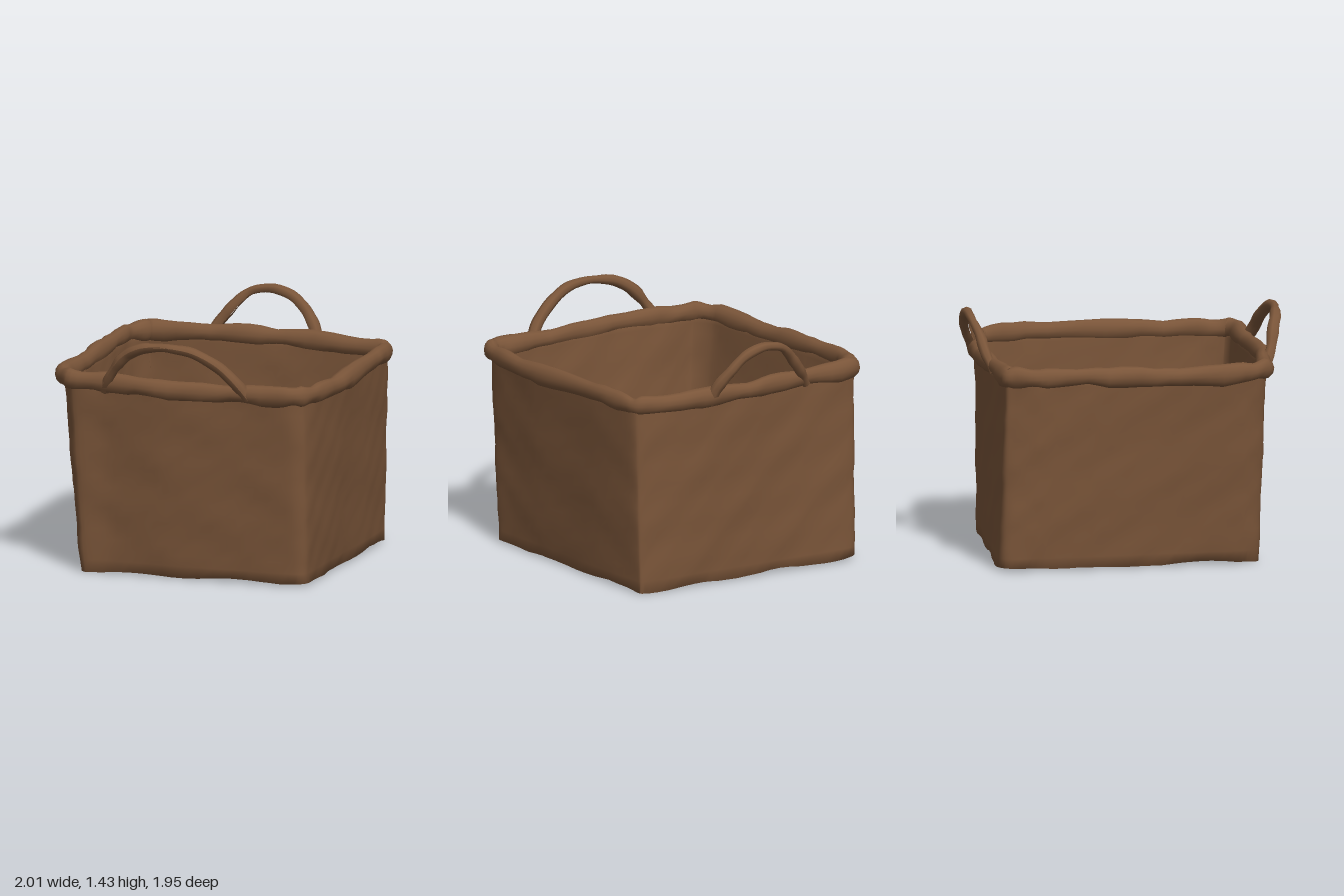
import * as THREE from 'three';

const N = 112; // samples around the basket

// Outlines (x, z) in matching order: back left, back right, front right, front left
const rimOutline = [
  [-0.97, -0.51], [-0.64, -0.66], [-0.29, -0.82], [0.03, -0.91], [0.42, -0.975], [0.53, -0.92],
  [0.67, -0.61], [0.89, -0.06], [0.99, 0.29], [1.0, 0.46], [0.91, 0.55],
  [0.62, 0.66], [0.17, 0.85], [-0.18, 0.92], [-0.39, 0.97], [-0.56, 0.85],
  [-0.72, 0.46], [-0.89, 0.03], [-1.0, -0.26], [-0.995, -0.42],
];
const baseOutline = [
  [-0.92, -0.54], [-0.61, -0.64], [-0.28, -0.74], [0.03, -0.83], [0.40, -0.935], [0.46, -0.90],
  [0.59, -0.56], [0.77, -0.06], [0.88, 0.22], [0.935, 0.36], [0.89, 0.43],
  [0.60, 0.54], [0.17, 0.69], [-0.15, 0.80], [-0.32, 0.875], [-0.40, 0.80],
  [-0.56, 0.45], [-0.76, 0.03], [-0.90, -0.30], [-0.965, -0.47],
];

const loopCurve = (pts) => new THREE.CatmullRomCurve3(
  pts.map(([x, z]) => new THREE.Vector3(x, 0, z)), true, 'catmullrom', 0.35);
const rimCurve = loopCurve(rimOutline);
const baseCurve = loopCurve(baseOutline);

// Blend of base (t = 0) and rim (t = 1), moved inwards by inset
function loopAt(t, inset) {
  const pts = [];
  for (let j = 0; j < N; j++) {
    pts.push(baseCurve.getPoint(j / N).lerp(rimCurve.getPoint(j / N), t));
  }
  return pts.map((p, j) => {
    const d = pts[(j + 1) % N].clone().sub(pts[(j + N - 1) % N]).normalize();
    return new THREE.Vector3(p.x - d.z * inset, 0, p.z + d.x * inset);
  });
}

// Soft lumps for the hand-made surface
const lump = (x, y, z) =>
  (Math.sin(9 * x + 7 * y + 2) * Math.sin(8 * z - 6 * y) +
   0.7 * Math.sin(23 * y + 13 * x) * Math.sin(19 * z + 17 * x + 1) +
   0.4 * Math.sin(41 * y - 31 * z) * Math.sin(37 * x + 5)) / 2;

function roughen(geo, amount) {
  geo.computeVertexNormals();
  const p = geo.attributes.position, n = geo.attributes.normal;
  for (let i = 0; i < p.count; i++) {
    const k = amount * lump(p.getX(i), p.getY(i), p.getZ(i));
    p.setXYZ(i, p.getX(i) + n.getX(i) * k, p.getY(i) + n.getY(i) * k, p.getZ(i) + n.getZ(i) * k);
  }
  geo.computeVertexNormals();
  return geo;
}

// Skin over closed rings of N points, the last ring joined to the first
function skin(rings) {
  const pos = [], index = [];
  rings.forEach((ring) => ring.forEach((p) => pos.push(p.x, p.y, p.z)));
  for (let i = 0; i < rings.length; i++) {
    const k = (i + 1) % rings.length;
    for (let j = 0; j < N; j++) {
      const m = (j + 1) % N;
      const a = i * N + j, b = i * N + m, c = k * N + j, d = k * N + m;
      index.push(a, c, b, b, c, d);
    }
  }
  const geo = new THREE.BufferGeometry();
  geo.setAttribute('position', new THREE.Float32BufferAttribute(pos, 3));
  geo.setIndex(index);
  return geo;
}

// Double-sided wall, open at the bottom
function wallGeometry() {
  const rings = [], steps = 18, low = 0.015, high = 1.15;
  const add = (f, inset) => {
    const ring = loopAt(0.85 * f ** 0.9, inset + 0.028 * f);
    ring.forEach((p) => {
      p.y = low + (high - low) * f;
      if (f === 0) p.y += 0.012 * Math.sin(9 * p.x + 5 * p.z) * Math.sin(4 * p.x);
    });
    rings.push(ring);
  };
  for (let i = 0; i <= steps; i++) add(i / steps, 0);
  for (let i = steps; i >= 0; i--) add(i / steps, 0.03);
  return roughen(skin(rings), 0.009);
}

// Rolled rim: a round section swept along the top outline, with a slight ripple
function rimGeometry() {
  const rings = [], sides = 12;
  for (let i = 0; i < sides; i++) {
    const a = (i / sides) * Math.PI * 2;
    const ring = loopAt(1, 0.046 + 0.046 * Math.cos(a));
    ring.forEach((p, j) => {
      p.y = 1.14 - 0.056 * Math.sin(a) * (1 + 0.1 * Math.sin(j * 0.9))
        + 0.008 * Math.sin(5 * p.x + 3 * p.z);
    });
    rings.push(ring);
  }
  return roughen(skin(rings), 0.014);
}

// Uneven floor slab set above the lower edge, rising towards the walls
function floorGeometry() {
  const rings = [], steps = 8;
  const add = (s, lift) => rings.push(loopAt(0.12, 0.012).map((p) =>
    new THREE.Vector3(p.x * s, 0.13 + lift + 0.04 * s ** 4, p.z * s)));
  for (let i = 0; i <= steps; i++) add(i / steps, 0);
  for (let i = steps; i >= 0; i--) add(i / steps, 0.02);
  return roughen(skin(rings), 0.016);
}

function handleGeometry(points) {
  const curve = new THREE.CatmullRomCurve3(points.map((p) => new THREE.Vector3(...p)));
  return roughen(new THREE.TubeGeometry(curve, 36, 0.031, 8, false), 0.012);
}

export function createModel() {
  const group = new THREE.Group();
  const brown = new THREE.MeshStandardMaterial({ color: 0x7a5539 });
  brown.name = 'basketBrown';

  const add = (name, geo) => {
    const mesh = new THREE.Mesh(geo, brown);
    mesh.name = name;
    group.add(mesh);
  };

  add('walls', wallGeometry());
  add('rim', rimGeometry());
  add('floor', floorGeometry());

  // Arched handles tucked into the rim
  add('frontHandle', handleGeometry([
    [-0.17, 1.10, 0.87], [-0.11, 1.19, 0.90], [0.0, 1.32, 0.90], [0.12, 1.385, 0.885],
    [0.27, 1.40, 0.85], [0.42, 1.38, 0.79], [0.54, 1.31, 0.72], [0.63, 1.21, 0.66],
    [0.68, 1.11, 0.60],
  ]));
  add('backHandle', handleGeometry([
    [-0.64, 1.11, -0.62], [-0.58, 1.21, -0.68], [-0.51, 1.32, -0.74], [-0.44, 1.385, -0.79],
    [-0.33, 1.405, -0.84], [-0.21, 1.375, -0.88], [-0.11, 1.29, -0.90], [-0.03, 1.19, -0.88],
    [0.0, 1.10, -0.86],
  ]));
  return group;
}
